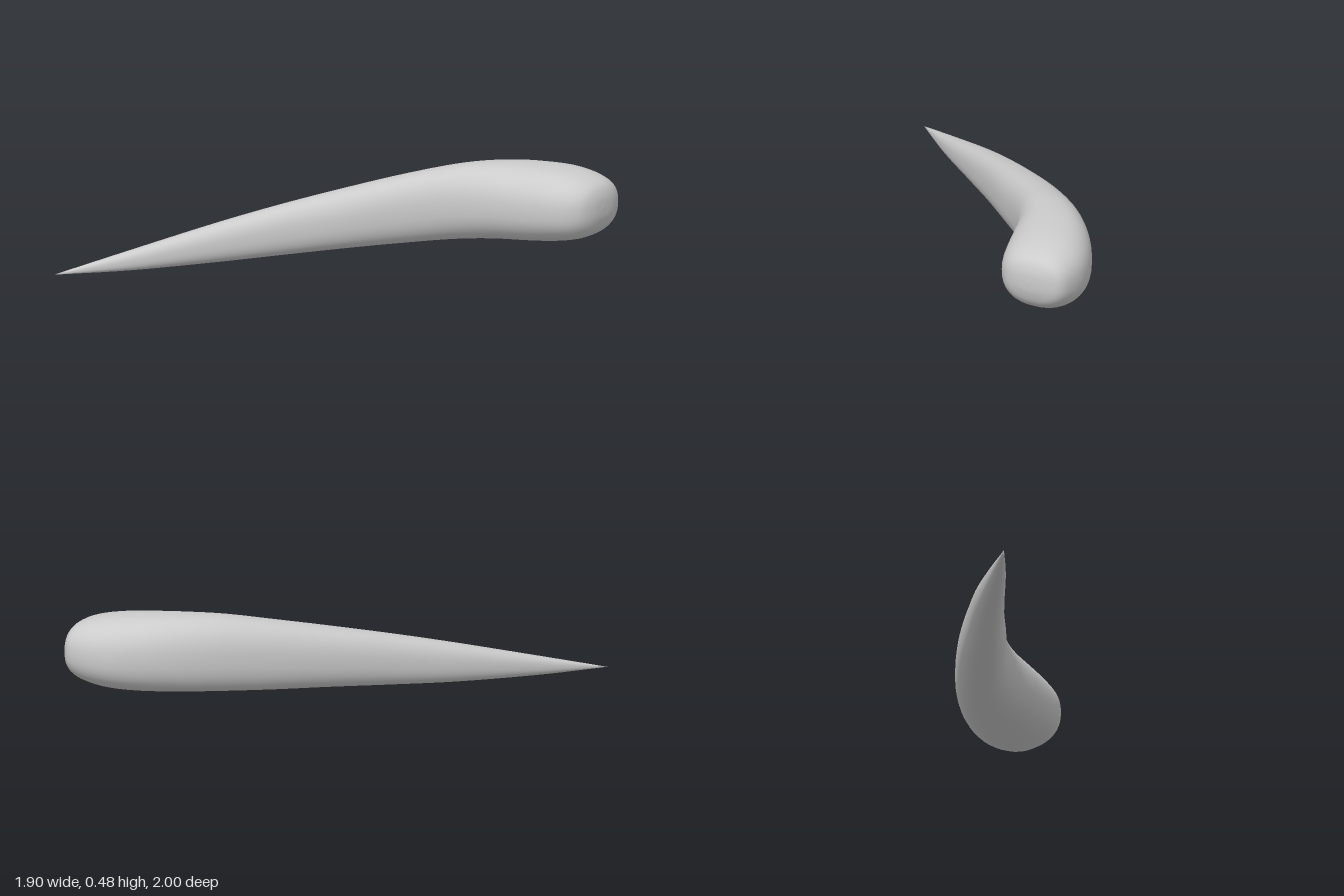
import * as THREE from 'three';
import { mergeVertices } from 'three/addons/utils/BufferGeometryUtils.js';

// Stations from tip to blunt end: inner x, inner z, outer x, outer z, bottom y, top y
const STATIONS = [
  [-0.955, -1, -0.955, -1, 0.007, 0.007],
  [-0.70, -0.73, -0.65, -0.79, 0.01, 0.105],
  [-0.41, -0.445, -0.30, -0.535, 0.027, 0.215],
  [-0.18, -0.215, -0.04, -0.325, 0.048, 0.295],
  [0.03, 0.01, 0.22, -0.11, 0.07, 0.365],
  [0.20, 0.19, 0.44, 0.085, 0.085, 0.42],
  [0.33, 0.355, 0.66, 0.30, 0.10, 0.465],
  [0.41, 0.50, 0.81, 0.485, 0.108, 0.482],
  [0.465, 0.66, 0.905, 0.65, 0.113, 0.483],
  [0.51, 0.79, 0.945, 0.785, 0.125, 0.475],
  [0.555, 0.90, 0.94, 0.90, 0.15, 0.453],
  [0.61, 0.965, 0.91, 0.965, 0.19, 0.42],
  [0.68, 0.993, 0.84, 0.993, 0.25, 0.37],
  [0.755, 1, 0.755, 1, 0.31, 0.31],
];

const curveOf = (pick) =>
  new THREE.CatmullRomCurve3(STATIONS.map(pick), false, 'catmullrom', 0.5);

// Rounded-square section coordinate
const soft = (v) => Math.sign(v) * Math.pow(Math.abs(v), 0.84);

function hornGeometry(rings, sides) {
  const inner = curveOf((s) => new THREE.Vector3(s[0], 0, s[1]));
  const outer = curveOf((s) => new THREE.Vector3(s[2], 0, s[3]));
  const heights = curveOf((s) => new THREE.Vector3(s[4], s[5], 0));
  const positions = [];
  const index = [];

  for (let i = 0; i <= rings; i++) {
    const t = i / rings;
    const a = inner.getPoint(t);
    const b = outer.getPoint(t);
    const h = heights.getPoint(t);
    for (let j = 0; j < sides; j++) {
      const angle = (j / sides) * Math.PI * 2;
      const p = a.clone().lerp(b, 0.5 + 0.5 * soft(Math.cos(angle)));
      p.y = THREE.MathUtils.lerp(h.x, h.y, 0.5 + 0.5 * soft(Math.sin(angle)));
      positions.push(p.x, p.y, p.z);
    }
  }
  for (let i = 0; i < rings; i++) {
    for (let j = 0; j < sides; j++) {
      const k = (j + 1) % sides;
      const p = i * sides + j, q = i * sides + k;
      if (i > 0) index.push(p, q, p + sides);
      if (i < rings - 1) index.push(q, q + sides, p + sides);
    }
  }

  const geometry = new THREE.BufferGeometry();
  geometry.setAttribute('position', new THREE.Float32BufferAttribute(positions, 3));
  geometry.setIndex(index);
  // Weld the collapsed rings at both ends so the shading stays smooth
  const welded = mergeVertices(geometry, 1e-5);
  welded.computeVertexNormals();
  return welded;
}

export function createModel() {
  const group = new THREE.Group();
  group.name = 'curvedHorn';
  const material = new THREE.MeshStandardMaterial({ color: 0xcccccc });

  // Single tapering body, from sharp tip to rounded base
  const horn = new THREE.Mesh(hornGeometry(78, 40), material);
  horn.name = 'horn';
  group.add(horn);
  return group;
}
